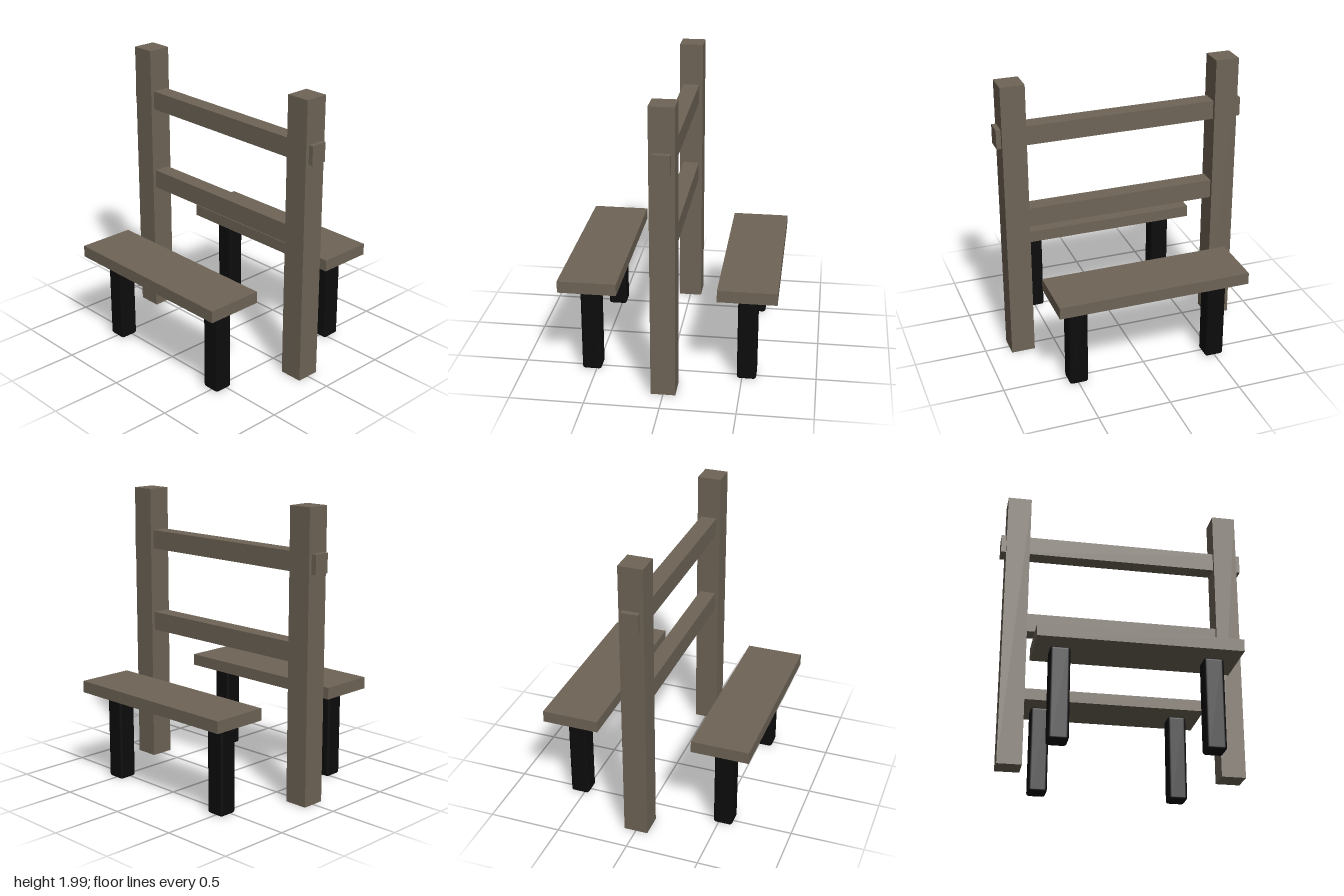
import * as THREE from 'three';
import { RoundedBoxGeometry } from 'three/addons/geometries/RoundedBoxGeometry.js';

export function createModel() {
  const model = new THREE.Group();
  model.name = 'benchFrame';

  const wood = new THREE.MeshStandardMaterial({ color: 0x6e6456 });
  wood.name = 'weatheredWood';
  const black = new THREE.MeshStandardMaterial({ color: 0x0c0c0c });
  black.name = 'blackLeg';

  const base = 0.013, top = 2;
  const seatBottom = 0.635, seatTop = 0.717;

  function add(parent, name, geometry, material, x, y, z) {
    const mesh = new THREE.Mesh(geometry, material);
    mesh.name = name;
    mesh.position.set(x, y, z);
    parent.add(mesh);
  }

  // Two tall square posts
  const postGeo = new THREE.BoxGeometry(0.165, top - base, 0.165);
  for (const [side, s] of [['left', 1], ['right', -1]]) {
    add(model, side + 'Post', postGeo, wood, s * 0.746, (top + base) / 2, 0);
  }

  // The upper rail passes through the posts, the lower one stops at them
  add(model, 'upperRail', new THREE.BoxGeometry(1.724, 0.132, 0.115), wood, -0.001, 1.638, 0);
  add(model, 'lowerRail', new THREE.BoxGeometry(1.33, 0.132, 0.115), wood, 0, 1.04, 0);

  // A bench on each side of the frame, each with two rounded legs
  const seatGeo = new THREE.BoxGeometry(1.326, seatTop - seatBottom, 0.396);
  const legGeo = new RoundedBoxGeometry(0.132, seatBottom - base, 0.132, 3, 0.02);
  for (const [end, s] of [['front', 1], ['back', -1]]) {
    const bench = new THREE.Group();
    bench.name = end + 'Bench';
    add(bench, end + 'Seat', seatGeo, wood, 0, (seatBottom + seatTop) / 2, s * 0.531);
    for (const [side, t] of [['Left', 1], ['Right', -1]]) {
      add(bench, end + side + 'Leg', legGeo, black, t * 0.497, (seatBottom + base) / 2, s * 0.531);
    }
    model.add(bench);
  }

  return model;
}
